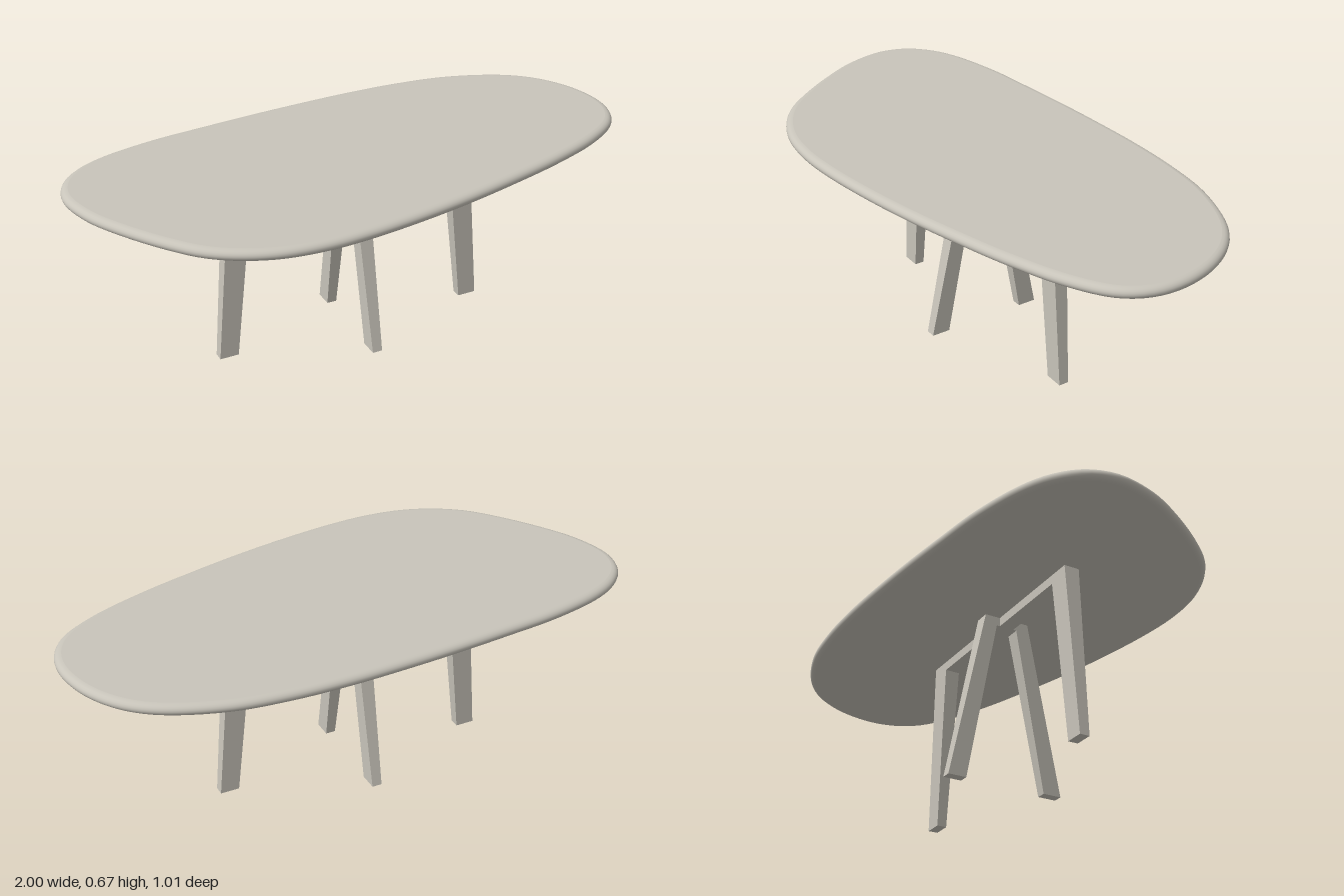
import * as THREE from 'three';

const TOP_Y = 0.6525, EDGE_R = 0.02, EDGE_INSET = 0.025;
const FRAME_TOP = 0.634, BEAM_Y = 0.6;

// Tabletop outline as [x, z], clockwise seen from above
const OUTLINE = [
  [-1, -0.16], [-0.97, -0.265], [-0.9, -0.34], [-0.8, -0.392], [-0.6, -0.442], [-0.4, -0.466],
  [-0.2, -0.486], [0, -0.5], [0.2, -0.508], [0.4, -0.503], [0.6, -0.475], [0.8, -0.395],
  [0.9, -0.31], [0.97, -0.19], [1, -0.05], [0.985, 0.055], [0.93, 0.145], [0.8, 0.232],
  [0.6, 0.312], [0.4, 0.372], [0.2, 0.424], [0, 0.465], [-0.2, 0.494], [-0.35, 0.502],
  [-0.5, 0.485], [-0.62, 0.44], [-0.72, 0.372], [-0.8, 0.28], [-0.9, 0.13], [-0.97, -0.01],
];

function createTabletop(material) {
  const curve = new THREE.CatmullRomCurve3(
    OUTLINE.map(([x, z]) => new THREE.Vector3(x, 0, z)), true, 'centripetal');
  const N = 160, M = 10;
  const rim = [];
  for (let i = 0; i < N; i++) {
    const p = curve.getPointAt(i / N), t = curve.getTangentAt(i / N);
    rim.push({ x: p.x, z: p.z, nx: t.z, nz: -t.x });
  }
  const inset = (d) => rim.map((p) => [p.x - p.nx * d, p.z - p.nz * d]);

  // Rounded edge: the outline swept through a half-round section
  const pos = [], index = [];
  for (let k = 0; k <= M; k++) {
    const a = -Math.PI / 2 + (Math.PI * k) / M;
    for (const [x, z] of inset(EDGE_INSET * (1 - Math.cos(a)))) {
      pos.push(x, TOP_Y + EDGE_R * Math.sin(a), z);
    }
  }
  for (let k = 0; k < M; k++) {
    for (let i = 0; i < N; i++) {
      const j = (i + 1) % N, a = k * N + i, b = k * N + j;
      index.push(a, a + N, b, b, a + N, b + N);
    }
  }
  const edge = new THREE.BufferGeometry();
  edge.setAttribute('position', new THREE.Float32BufferAttribute(pos, 3));
  edge.setIndex(index);
  edge.computeVertexNormals();

  // Flat top and underside
  const cap = (side) => {
    const shape = new THREE.Shape(inset(EDGE_INSET).map(([x, z]) => new THREE.Vector2(x, -side * z)));
    return new THREE.ShapeGeometry(shape)
      .rotateX(-side * Math.PI / 2)
      .translate(0, TOP_Y + side * EDGE_R, 0);
  };

  const group = new THREE.Group();
  group.name = 'tabletop';
  const parts = { tabletopEdge: edge, tabletopSurface: cap(1), tabletopUnderside: cap(-1) };
  for (const [name, geometry] of Object.entries(parts)) {
    const mesh = new THREE.Mesh(geometry, material);
    mesh.name = name;
    group.add(mesh);
  }
  return group;
}

// Two splayed legs joined by a beam, thinner towards the floor
function createLegFrame(name, footOuter, footInner, topOuter, topInner, material) {
  const shape = new THREE.Shape([
    [-footOuter, 0], [-footInner, 0], [-topInner, BEAM_Y], [topInner, BEAM_Y],
    [footInner, 0], [footOuter, 0], [topOuter, FRAME_TOP], [-topOuter, FRAME_TOP],
  ].map(([u, y]) => new THREE.Vector2(u, y)));
  const geometry = new THREE.ExtrudeGeometry(shape, { depth: 1, bevelEnabled: false });
  geometry.translate(0, 0, -0.5);
  const p = geometry.attributes.position;
  for (let i = 0; i < p.count; i++) {
    p.setZ(i, p.getZ(i) * THREE.MathUtils.lerp(0.036, 0.056, p.getY(i) / FRAME_TOP));
  }
  geometry.computeVertexNormals();
  const mesh = new THREE.Mesh(geometry, material);
  mesh.name = name;
  return mesh;
}

export function createModel() {
  const stone = new THREE.MeshStandardMaterial({ color: 0xc8c4ba });
  stone.name = 'warm grey';

  const model = new THREE.Group();
  model.name = 'table';
  model.add(createTabletop(stone));

  const longFrame = createLegFrame('longLegFrame', 0.512, 0.443, 0.459, 0.378, stone);
  const crossFrame = createLegFrame('crossLegFrame', 0.22, 0.152, 0.085, 0.04, stone);
  crossFrame.rotation.y = -Math.PI / 2;
  for (const frame of [longFrame, crossFrame]) {
    frame.position.set(-0.037, 0, -0.015);
    model.add(frame);
  }
  return model;
}
